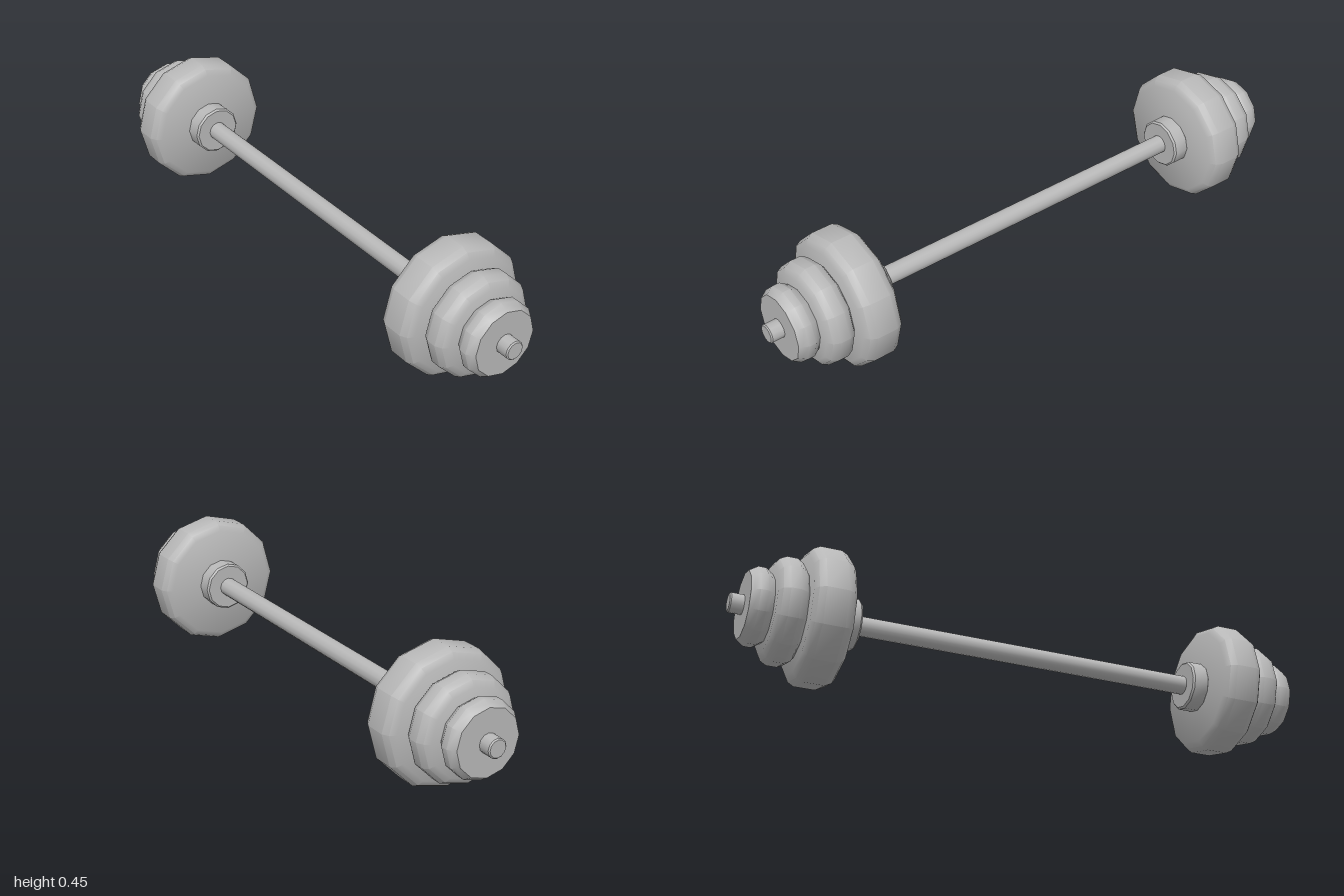
import * as THREE from 'three';
import { toCreasedNormals } from 'three/addons/utils/BufferGeometryUtils.js';

const SIDES = 12;
const AXIS_HEIGHT = 0.225;

export function createModel() {
  const model = new THREE.Group();
  model.name = 'barbell';
  const steel = new THREE.MeshStandardMaterial({ color: 0xb8b8b8 });
  steel.name = 'grey steel';

  // Closed turned part along x; edge lists [inset from end, radius] steps, mirrored to the far end
  function turned(name, x0, x1, edge) {
    const near = edge.map(([inset, r]) => new THREE.Vector2(r, x0 + inset));
    const far = edge.map(([inset, r]) => new THREE.Vector2(r, x1 - inset)).reverse();
    const points = [new THREE.Vector2(0, x0), ...near, ...far, new THREE.Vector2(0, x1)];
    const geometry = new THREE.LatheGeometry(points, SIDES).rotateZ(-Math.PI / 2);
    const mesh = new THREE.Mesh(toCreasedNormals(geometry, 0.6), steel);
    mesh.name = name;
    return mesh;
  }

  // Plate rim rounded in two steps
  const rim = (r) => [[0, r - 0.03], [0.012, r - 0.011], [0.033, r]];

  // Bar running the whole length, with slightly chamfered ends
  const bar = turned('bar', -1, 1, [[0, 0.028], [0.004, 0.032]]);
  bar.position.y = AXIS_HEIGHT;
  model.add(bar);

  // Matching weight stacks at each end
  for (const side of ['left', 'right']) {
    const stack = new THREE.Group();
    stack.name = side + 'Weights';
    stack.add(
      turned('collar', 0.589, 0.65, [[0, 0.078], [0.006, 0.084]]),
      turned('largePlate', 0.645, 0.782, rim(0.225)),
      turned('mediumPlate', 0.78, 0.88, rim(0.174)),
      turned('smallPlate', 0.878, 0.955, rim(0.127).map(([i, r], k) => [i * 0.8, k ? r : 0.11]))
    );
    stack.position.y = AXIS_HEIGHT;
    if (side === 'right') stack.rotation.y = Math.PI;
    model.add(stack);
  }
  return model;
}
